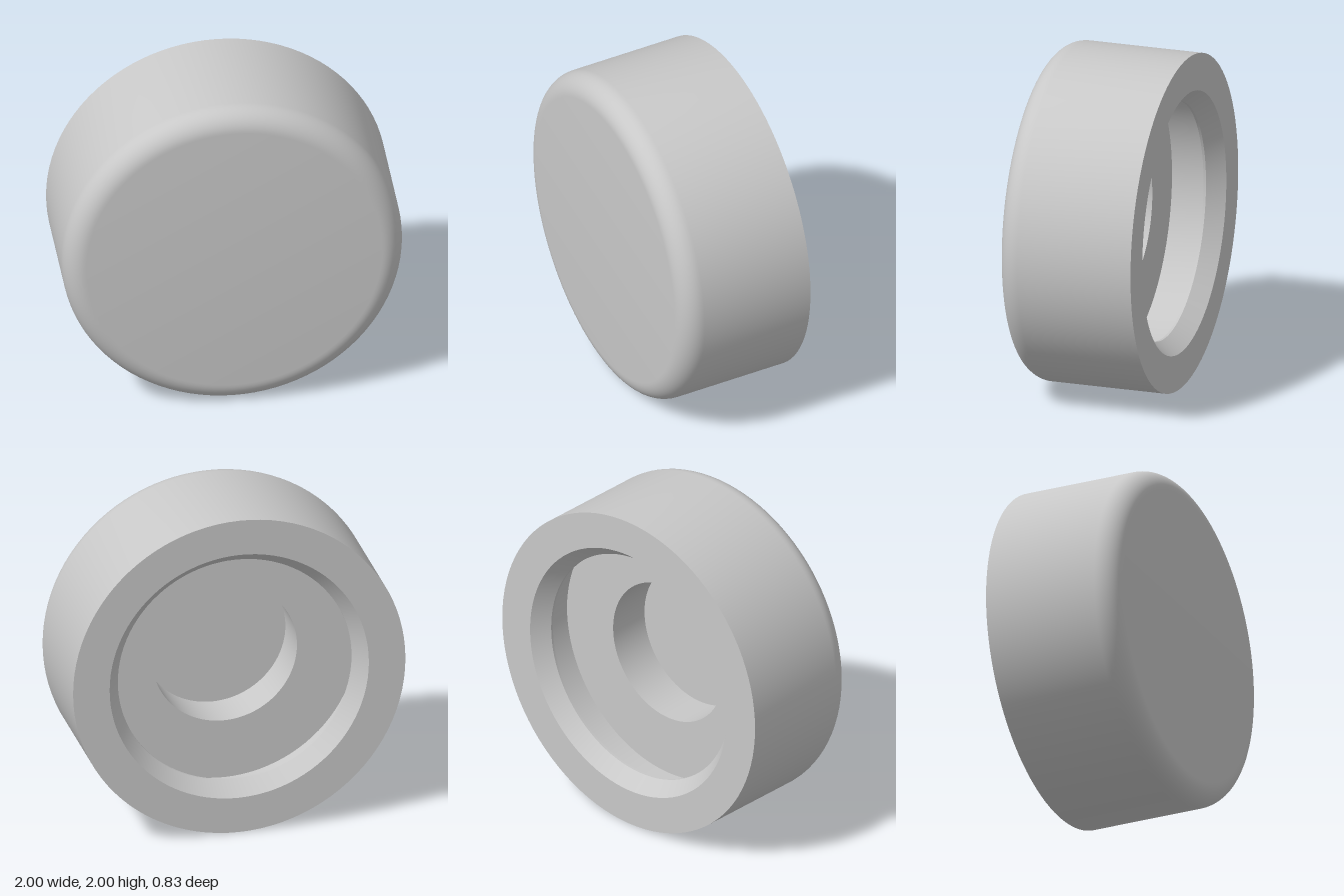
import * as THREE from 'three';
import { toCreasedNormals } from 'three/addons/utils/BufferGeometryUtils.js';

const BACK = -0.413, FRONT = 0.413, SEGMENTS = 96;

export function createModel() {
  const group = new THREE.Group();
  const grey = new THREE.MeshStandardMaterial({ color: 0xc8c8c8 });
  grey.name = 'light grey';

  // Revolve [radius, z] points around the z axis, keeping edges sharp
  const revolve = (name, points) => {
    const profile = points.map(([r, z]) => new THREE.Vector2(r, z));
    const geometry = new THREE.LatheGeometry(profile, SEGMENTS).rotateX(Math.PI / 2);
    const mesh = new THREE.Mesh(toCreasedNormals(geometry, 0.35), grey);
    mesh.name = name;
    mesh.position.y = 1;
    group.add(mesh);
  };

  // Blind bore in the centre of the recess
  const floor = BACK + 0.34, boreEnd = BACK + 0.61, boreRadius = 0.435;
  revolve('centreBore', [[0, boreEnd], [boreRadius, boreEnd], [boreRadius, floor]]);

  // Recess: floor, undercut wall, retaining lip and tapered entry
  revolve('backRecess', [
    [boreRadius, floor], [0.8, floor], [0.8, BACK + 0.115],
    [0.705, BACK + 0.115], [0.705, BACK + 0.1], [0.78, BACK],
  ]);

  // Outer body: flat back rim, side wall, rounded front edge and front face
  const fillet = 0.13, steps = 12;
  const body = [[0.78, BACK], [1, BACK]];
  for (let i = 0; i <= steps; i++) {
    const a = (i / steps) * Math.PI / 2;
    body.push([1 - fillet + fillet * Math.cos(a), FRONT - fillet + fillet * Math.sin(a)]);
  }
  body.push([0, FRONT]);
  revolve('roundedBody', body);

  return group;
}
